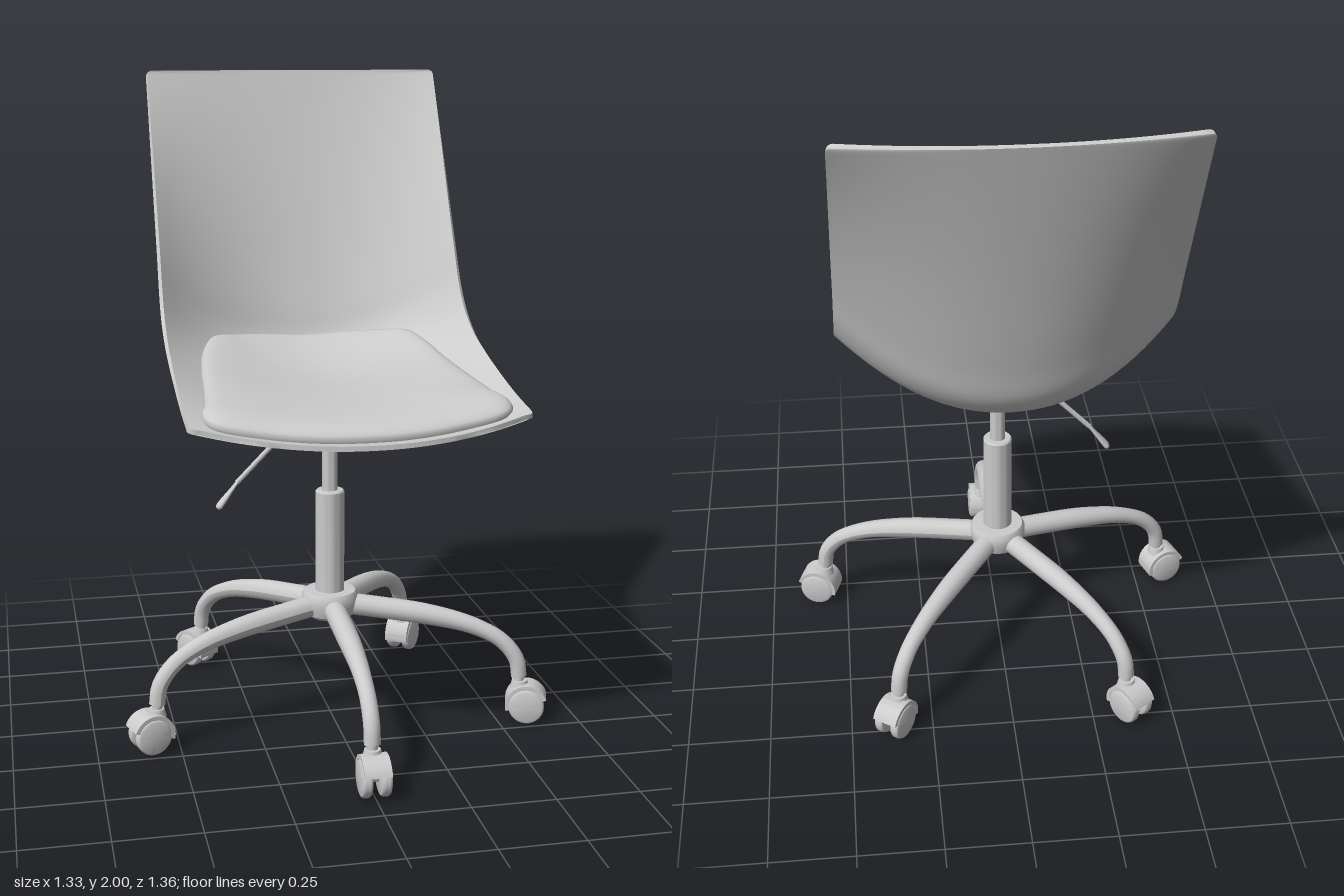
import * as THREE from 'three';
import { toCreasedNormals } from 'three/addons/utils/BufferGeometryUtils.js';

const V = (x, y, z) => new THREE.Vector3(x, y, z);
const material = new THREE.MeshStandardMaterial({ color: 0xcccccc });

function add(parent, name, geometry, x = 0, y = 0, z = 0) {
  const mesh = new THREE.Mesh(geometry, material);
  mesh.name = name;
  mesh.position.set(x, y, z);
  parent.add(mesh);
  return mesh;
}

// Skin a list of closed rings; capEnds joins the two halves of the end rings
function loft(rings, capEnds, crease) {
  const n = rings[0].length, last = rings.length - 1, index = [];
  for (let i = 0; i < last; i++) for (let j = 0; j < n; j++) {
    const a = i * n + j, b = i * n + (j + 1) % n;
    index.push(a, b, b + n, a, b + n, a + n);
  }
  if (capEnds) for (let j = 0; j < n / 2 - 1; j++) {
    const a = j, b = j + 1, c = n - 2 - j, d = n - 1 - j, o = last * n;
    index.push(a, c, b, a, d, c, o + a, o + b, o + c, o + a, o + c, o + d);
  }
  const g = new THREE.BufferGeometry();
  g.setAttribute('position', new THREE.Float32BufferAttribute(rings.flat().flatMap(p => p.toArray()), 3));
  g.setIndex(index);
  return toCreasedNormals(g, crease);
}

const lathe = (pts, sides = 40) =>
  toCreasedNormals(new THREE.LatheGeometry(pts.map(p => new THREE.Vector2(...p)), sides), 0.6);

// Seat shell: centre line and side edge, blended across the width
function shellGeometry() {
  const curve = pts => new THREE.CatmullRomCurve3(pts.map(([z, y]) => V(0, y, z)), false, 'centripetal');
  const centre = curve([[0.596, 1.008], [0.4, 0.992], [0.2, 0.985], [0, 0.991], [-0.2, 1.018],
    [-0.36, 1.056], [-0.425, 1.12], [-0.466, 1.25], [-0.562, 1.6], [-0.673, 1.996]]);
  const edge = curve([[0.492, 1.05], [0.33, 1.075], [0.17, 1.11], [0.02, 1.15], [-0.1, 1.19],
    [-0.2, 1.25], [-0.265, 1.325], [-0.327, 1.44], [-0.465, 1.7], [-0.625, 1.996]]);
  const ends = [edge.getPoint(0), edge.getPoint(1)];
  const half = 0.007, nu = 32;
  const point = (u, t) => {
    const e = edge.getPoint(t);
    const p = centre.getPoint(t).lerp(e, Math.abs(u) ** 2.1);
    const r = t < 0.5 ? 0.03 : 0.016;
    const d = Math.min(r, e.distanceTo(ends[0]), e.distanceTo(ends[1]));
    p.x = u * (0.494 - 0.014 * t - r + Math.sqrt(r * r - (r - d) ** 2));
    return p;
  };
  const ts = [0, 0.001, 0.003, 0.007, 0.012];
  for (let i = 1; i < 54; i++) ts.push(i / 54);
  ts.push(0.993, 0.996, 0.998, 0.9995, 1);
  const rings = ts.map(t => {
    const lower = [], upper = [];
    for (let j = 0; j <= nu; j++) {
      const u = 1 - 2 * j / nu, h = 0.01;
      const tc = THREE.MathUtils.clamp(t, 0.03, 0.97);
      const du = point(u + h, tc).sub(point(u - h, tc));
      const normal = du.cross(point(u, tc + h).sub(point(u, tc - h))).normalize();
      const p = point(u, t);
      lower.push(p.clone().addScaledVector(normal, -half));
      upper.unshift(p.clone().addScaledVector(normal, half));
    }
    return [...lower, ...upper];
  });
  return loft(rings, true, 0.7);
}

// Cushion: concentric outlines, domed over a saddle-shaped surface
function cushionGeometry() {
  const side = [[0.13, -0.38], [0.23, -0.35], [0.32, -0.3], [0.365, -0.2], [0.39, -0.05], [0.41, 0.15],
    [0.43, 0.32], [0.448, 0.42], [0.42, 0.48], [0.28, 0.52], [0.14, 0.545]];
  const outline = [[0, -0.388], ...side, [0, 0.552], ...side.map(([x, z]) => [-x, z]).reverse()];
  const path = new THREE.CatmullRomCurve3(outline.map(([x, z]) => V(x, 0, z)), true, 'centripetal').getPoints(120);
  path.pop();
  const base = (x, z) => 1.02 + 0.13 * Math.max(0, (0.1 - z) / 0.49) ** 3 + (0.55 - 0.7 * z) * x * x;
  const steps = [[0, 0.06], [0.2, 0.059], [0.4, 0.057], [0.6, 0.052], [0.75, 0.046], [0.86, 0.038],
    [0.92, 0.031], [0.96, 0.022], [0.985, 0.013], [1, 0], [0.97, -0.019]];
  return loft(steps.map(([s, rise]) => path.map(p => {
    const x = p.x * s, z = 0.1 + (p.z - 0.1) * s;
    return V(x, base(x, z) + rise, z);
  })), false, 1.5);
}

// Curved leg, thick at the hub and slimmer towards the caster
function legGeometry() {
  const path = new THREE.CatmullRomCurve3([V(0, 0.365, 0.04), V(0, 0.355, 0.15), V(0, 0.335, 0.32),
    V(0, 0.305, 0.45), V(0, 0.26, 0.54), V(0, 0.2, 0.588), V(0, 0.145, 0.597)]);
  const segments = 32, sides = 14;
  const g = new THREE.TubeGeometry(path, segments, 0.034, sides);
  const pos = g.attributes.position, p = V(0, 0, 0);
  for (let i = 0; i < pos.count; i++) {
    const t = Math.floor(i / (sides + 1)) / segments;
    const c = path.getPointAt(t);
    p.fromBufferAttribute(pos, i).sub(c).multiplyScalar(1 - 0.27 * THREE.MathUtils.smoothstep(t, 0.3, 0.8)).add(c);
    pos.setXYZ(i, p.x, p.y, p.z);
  }
  g.computeVertexNormals();
  return g;
}

// Caster hood: an arched cover over both wheels
function hoodGeometry(width, inner) {
  const s = new THREE.Shape();
  s.absarc(0, 0, 0.066, 0.35, 3.4, false);
  s.absarc(0, 0, inner, 3.4, 0.35, true);
  const g = new THREE.ExtrudeGeometry(s, { depth: width, bevelEnabled: false, curveSegments: 20 });
  g.translate(0, 0, -width / 2).rotateY(-Math.PI / 2);
  return toCreasedNormals(g, 0.6);
}

export function createModel() {
  const chair = new THREE.Group();
  chair.name = 'swivelChair';

  add(chair, 'seatShell', shellGeometry());
  add(chair, 'seatCushion', cushionGeometry());

  // Mounting plate and bowl under the seat
  add(chair, 'mountingPlate', lathe([[0, 0.972], [0.19, 0.972], [0.2, 0.98], [0.2, 0.995], [0, 0.995]]));
  add(chair, 'mountingBowl', lathe([[0, 0.922], [0.055, 0.924], [0.085, 0.932], [0.108, 0.946],
    [0.12, 0.964], [0.123, 0.98]]));

  // Gas lift column
  add(chair, 'upperColumn', lathe([[0.024, 0.7], [0.024, 0.89], [0.031, 0.9], [0.031, 0.93]], 24));
  add(chair, 'lowerColumn', lathe([[0, 0.36], [0.045, 0.36], [0.045, 0.728], [0.041, 0.733], [0, 0.733]], 28));
  add(chair, 'hub', lathe([[0, 0.322], [0.06, 0.322], [0.078, 0.335], [0.088, 0.365], [0.088, 0.395],
    [0.08, 0.408], [0, 0.41]], 32));

  // Height lever with a flared, flattened paddle
  const lever = new THREE.Group();
  lever.name = 'heightLever';
  lever.position.set(-0.1, 0.958, -0.016);
  lever.rotation.z = -0.775;
  chair.add(lever);
  add(lever, 'leverRod', new THREE.CylinderGeometry(0.008, 0.008, 0.3, 12), 0, -0.12, 0);
  const paddle = add(lever, 'leverPaddle', lathe([[0, 0], [0.014, 0.002], [0.02, 0.01], [0.019, 0.03],
    [0.013, 0.07], [0.008, 0.115]], 20), 0.012, -0.37, 0);
  paddle.scale.x = 0.5;
  paddle.rotation.z = 0.12;

  // Five legs with twin-wheel casters
  const leg = legGeometry();
  const hood = hoodGeometry(0.08, 0.053), spine = hoodGeometry(0.018, 0.012);
  const wheel = lathe([[0, -0.016], [0.044, -0.016], [0.052, -0.013], [0.056, -0.007],
    [0.056, 0.007], [0.052, 0.013], [0.044, 0.016], [0, 0.016]], 28).rotateZ(Math.PI / 2);
  for (let i = 0; i < 5; i++) {
    const arm = new THREE.Group();
    arm.name = 'baseArm';
    arm.rotation.y = i * Math.PI * 2 / 5;
    chair.add(arm);
    add(arm, 'leg', leg);
    add(arm, 'casterStem', new THREE.CylinderGeometry(0.016, 0.016, 0.06, 16), 0, 0.13, 0.597);
    add(arm, 'casterCollar', new THREE.CylinderGeometry(0.024, 0.03, 0.025, 18), 0, 0.12, 0.6);
    add(arm, 'casterHood', hood, 0, 0.058, 0.622);
    add(arm, 'casterSpine', spine, 0, 0.058, 0.622);
    const axle = add(arm, 'casterAxle', new THREE.CylinderGeometry(0.013, 0.013, 0.07, 12), 0, 0.056, 0.622);
    axle.rotation.z = Math.PI / 2;
    for (const s of [-1, 1]) add(arm, 'casterWheel', wheel, s * 0.028, 0.056, 0.622);
  }
  return chair;
}
